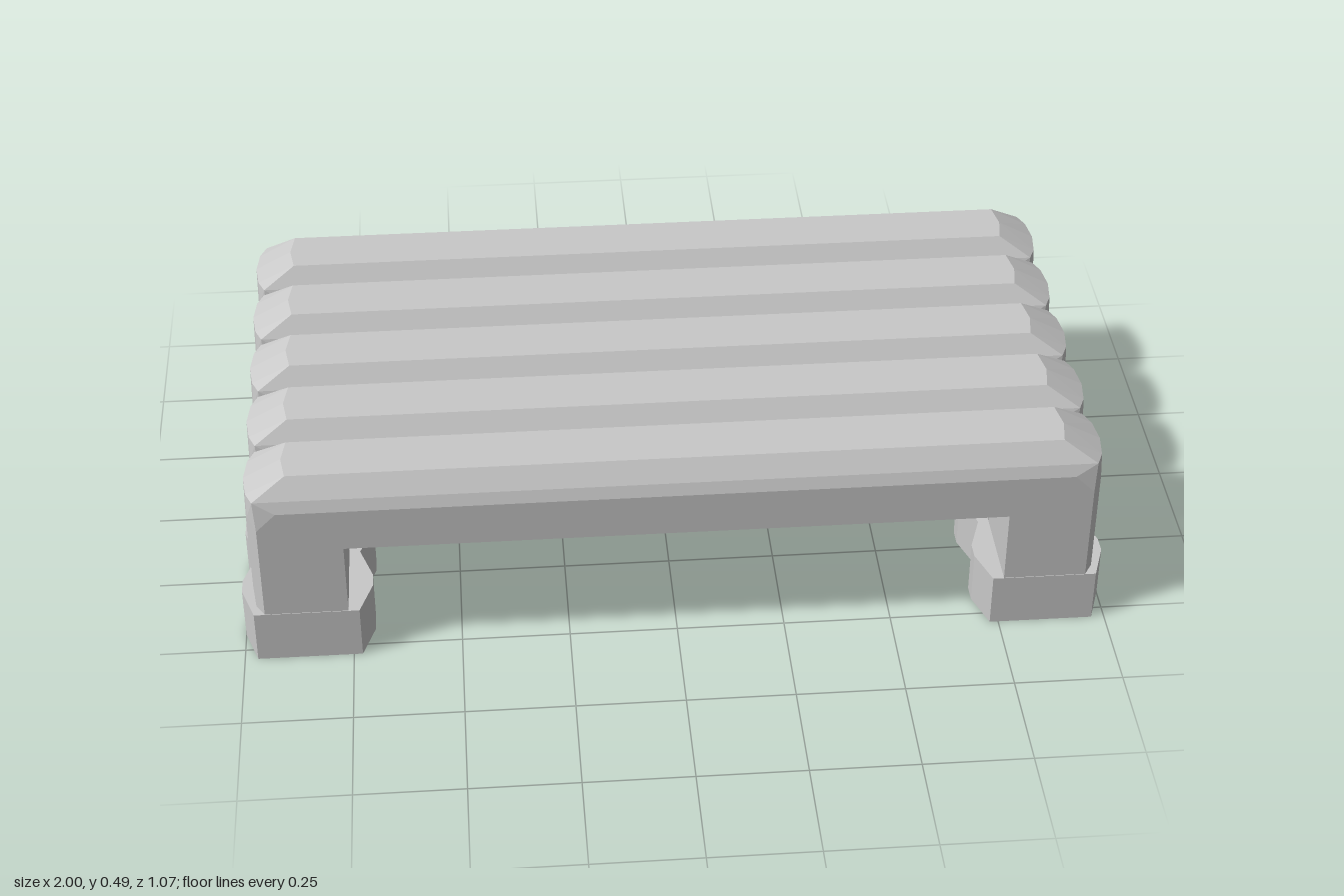
import * as THREE from 'three';
import { ConvexGeometry } from 'three/addons/geometries/ConvexGeometry.js';

// Vertical prism from a plan outline of [x, z] points
function prism(plan, y0, y1) {
  const pts = [];
  for (const [x, z] of plan) pts.push(new THREE.Vector3(x, y0, z), new THREE.Vector3(x, y1, z));
  return new ConvexGeometry(pts);
}

export function createModel() {
  const grey = new THREE.MeshStandardMaterial({ color: 0xc8c8c8 });
  const model = new THREE.Group();
  model.name = 'ribbedBench';

  const half = 0.105;
  const under = 0.31, footTop = 0.13;

  // Crossbar: bevelled top edges and faceted, chamfered ends
  const corner = [
    [0.945, under, half], [0.965, under, 0.073], [0.975, under, 0],
    [0.945, 0.37, half], [0.9, 0.415, half], [0.965, 0.39, 0.073],
    [0.95, 0.443, 0.095], [0.965, 0.443, 0.06], [0.972, 0.443, 0],
    [0.875, 0.49, 0.063], [0.885, 0.49, 0],
  ];
  const barPoints = [];
  for (const sx of [-1, 1]) for (const sz of [-1, 1])
    for (const [x, y, z] of corner) barPoints.push(new THREE.Vector3(sx * x, y, sz * z));
  const barGeo = new ConvexGeometry(barPoints);

  for (let i = 0; i < 5; i++) {
    const rib = new THREE.Group();
    rib.name = 'rib' + (i + 1);
    rib.position.z = (i - 2) * 0.213;
    const bar = new THREE.Mesh(barGeo, grey);
    bar.name = 'crossbar';
    rib.add(bar);

    for (const s of [-1, 1]) {
      // Leg: flat inside, faceted outside
      const leg = new THREE.Mesh(prism([
        [s * 0.755, -half], [s * 0.945, -half], [s * 0.965, -0.073], [s * 0.975, 0],
        [s * 0.965, 0.073], [s * 0.945, half], [s * 0.755, half],
      ], footTop, under), grey);
      leg.name = s > 0 ? 'leftLeg' : 'rightLeg';

      // Foot: block pointed on both sides
      const foot = new THREE.Mesh(prism([
        [s * 0.73, -0.1065], [s * 0.7, -0.02], [s * 0.7, 0.02], [s * 0.73, 0.1065],
        [s * 0.97, 0.1065], [s * 1.0, 0.02], [s * 1.0, -0.02], [s * 0.97, -0.1065],
      ], 0, footTop), grey);
      foot.name = s > 0 ? 'leftFoot' : 'rightFoot';
      rib.add(leg, foot);
    }
    model.add(rib);
  }
  return model;
}
